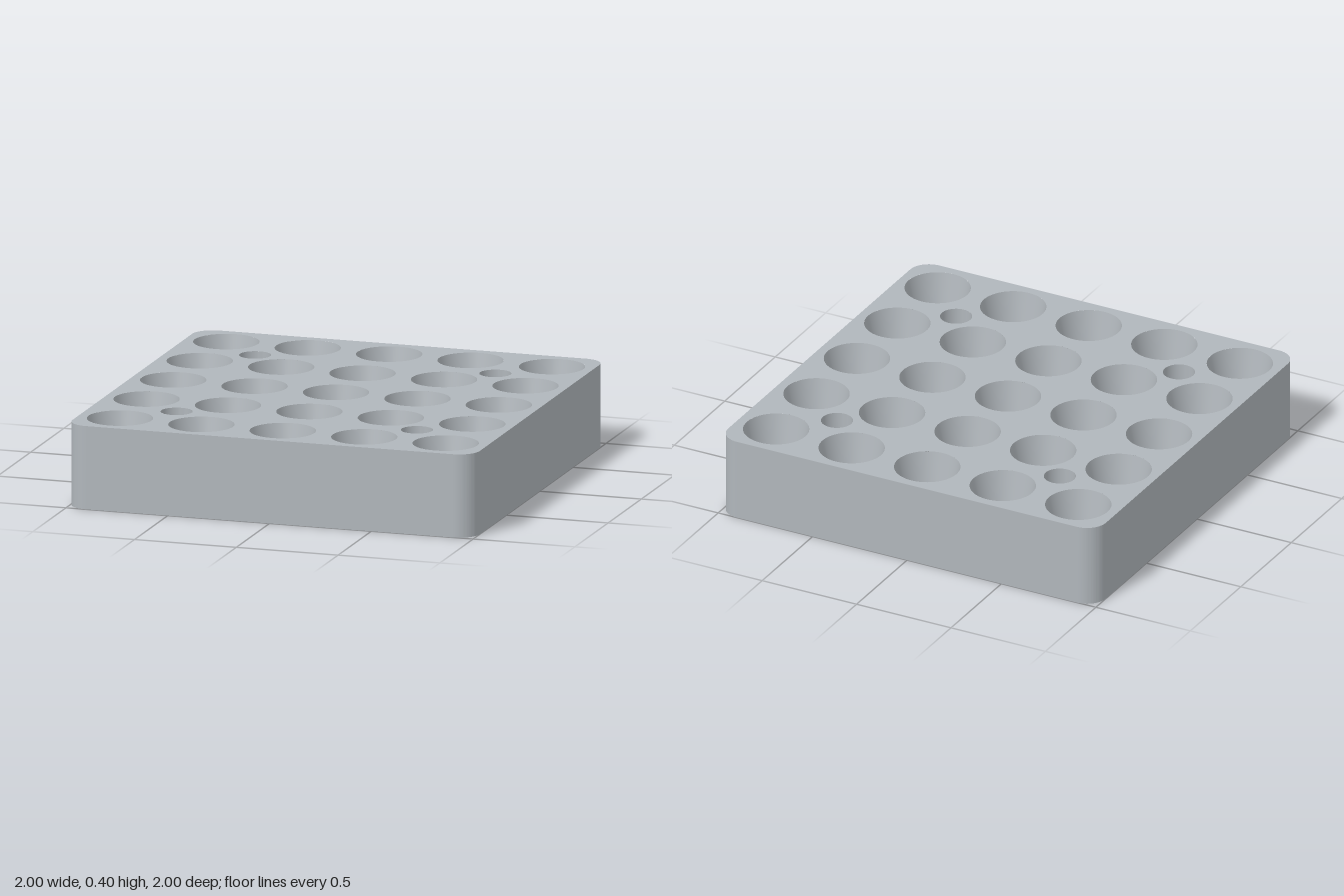
import * as THREE from 'three';
import { toCreasedNormals } from 'three/addons/utils/BufferGeometryUtils.js';

const HEIGHT = 0.4, HALF = 1, CORNER = 0.1, SEG = 64;
const WELL = { top: 0.155, floor: 0.102, depth: 0.3 };
const SCREW = { head: 0.075, shaft: 0.043, depth: 0.2, at: 0.59 };

// Square outline with rounded corners, counter-clockwise
function outline() {
  const s = new THREE.Shape(), c = HALF - CORNER, q = Math.PI / 2;
  s.absarc(c, c, CORNER, 0, q);
  s.absarc(-c, c, CORNER, q, 2 * q);
  s.absarc(-c, -c, CORNER, 2 * q, 3 * q);
  s.absarc(c, -c, CORNER, 3 * q, 4 * q);
  s.closePath();
  return s;
}

function addHole(shape, [x, z], radius) {
  const hole = new THREE.Path();
  hole.absarc(x, -z, radius, 0, Math.PI * 2, true);
  shape.holes.push(hole);
}

// Vertical band around the outline
function wallGeometry() {
  const pts = outline().getPoints(16), pos = [];
  for (let i = 0; i < pts.length; i++) {
    const a = pts[i], b = pts[(i + 1) % pts.length];
    if (a.distanceTo(b) < 1e-6) continue;
    pos.push(a.x, 0, -a.y, b.x, 0, -b.y, b.x, HEIGHT, -b.y);
    pos.push(a.x, 0, -a.y, b.x, HEIGHT, -b.y, a.x, HEIGHT, -a.y);
  }
  const g = new THREE.BufferGeometry();
  g.setAttribute('position', new THREE.Float32BufferAttribute(pos, 3));
  return toCreasedNormals(g, 0.5);
}

// Inward-facing surface of revolution, profile listed from top to bottom
function pocketGeometry(profile) {
  const pts = profile.map(([r, y]) => new THREE.Vector2(r, y));
  return toCreasedNormals(new THREE.LatheGeometry(pts, SEG), 0.5);
}

export function createModel() {
  const group = new THREE.Group();
  const grey = new THREE.MeshStandardMaterial({ color: 0xb0b6bb });
  grey.name = 'light grey';
  const add = (name, geometry, x = 0, z = 0) => {
    const mesh = new THREE.Mesh(geometry, grey);
    mesh.name = name;
    mesh.position.set(x, 0, z);
    group.add(mesh);
  };

  const wells = [], screws = [];
  for (let i = -2; i <= 2; i++) for (let j = -2; j <= 2; j++) wells.push([i * 0.4, j * 0.4]);
  for (const sx of [-1, 1]) for (const sz of [-1, 1]) screws.push([sx * SCREW.at, sz * SCREW.at]);

  // Block: pierced top, pierced underside and outer wall
  const top = outline(), base = outline();
  wells.forEach(p => addHole(top, p, WELL.top));
  screws.forEach(p => { addHole(top, p, SCREW.head); addHole(base, p, SCREW.shaft); });
  add('topFace', new THREE.ShapeGeometry(top, SEG).rotateX(-Math.PI / 2).translate(0, HEIGHT, 0));
  add('underside', new THREE.ShapeGeometry(base, SEG).rotateX(Math.PI / 2));
  add('outerWall', wallGeometry());

  // Tapered wells with flat floors
  const floorY = HEIGHT - WELL.depth;
  const wellGeo = pocketGeometry([[WELL.top, HEIGHT], [WELL.floor, floorY], [0, floorY]]);
  wells.forEach(([x, z]) => add('well', wellGeo, x, z));

  // Counterbored screw holes, open right through
  const stepY = HEIGHT - SCREW.depth;
  const screwGeo = pocketGeometry([
    [SCREW.head, HEIGHT], [SCREW.head, stepY], [SCREW.shaft, stepY], [SCREW.shaft, 0],
  ]);
  screws.forEach(([x, z]) => add('screwHole', screwGeo, x, z));

  return group;
}
